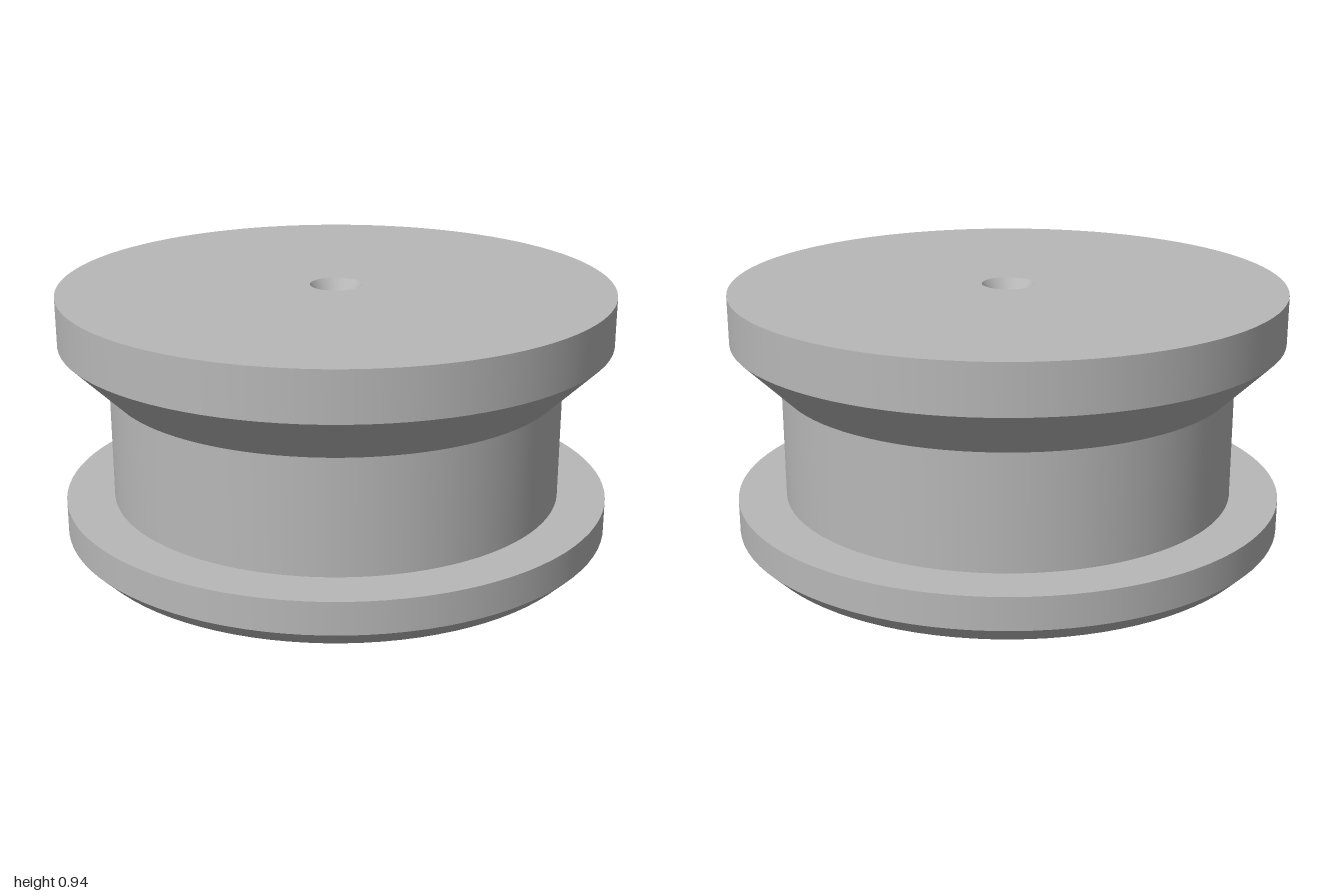
import * as THREE from 'three';
import { mergeGeometries } from 'three/addons/utils/BufferGeometryUtils.js';

const SIDES = 96;

// Revolves a profile one straight run at a time, so each run is smooth and its ends stay sharp.
// Profiles run up the outside, with the solid on their left.
function turned(name, profile, material) {
  const runs = profile.slice(1).map((p, i) => new THREE.LatheGeometry(
    [new THREE.Vector2(...profile[i]), new THREE.Vector2(...p)], SIDES));
  const mesh = new THREE.Mesh(mergeGeometries(runs), material);
  mesh.name = name;
  return mesh;
}

export function createModel() {
  const metal = new THREE.MeshStandardMaterial({ color: 0xb8b8b8 });
  metal.name = 'grey metal';

  const group = new THREE.Group();
  group.name = 'flangedSpool';
  group.add(
    // blind bore with a chamfered mouth, open at the underside
    turned('bottomBore', [[0, 0.6], [0.155, 0.6], [0.155, 0.042], [0.2, 0]], metal),
    // lower flange with a chamfered bottom edge
    turned('lowerFlange', [[0.2, 0], [0.94, 0], [1, 0.06], [1, 0.178], [0.825, 0.178]], metal),
    // straight waist
    turned('waist', [[0.825, 0.178], [0.825, 0.594]], metal),
    // upper flange with a sloping underside
    turned('upperFlange', [[0.825, 0.594], [1, 0.768], [1, 0.943], [0.094, 0.943]], metal),
    // conical centre hole with a small pilot
    turned('centreHole', [[0.094, 0.943], [0.025, 0.83], [0.025, 0.76], [0, 0.76]], metal),
  );
  return group;
}
